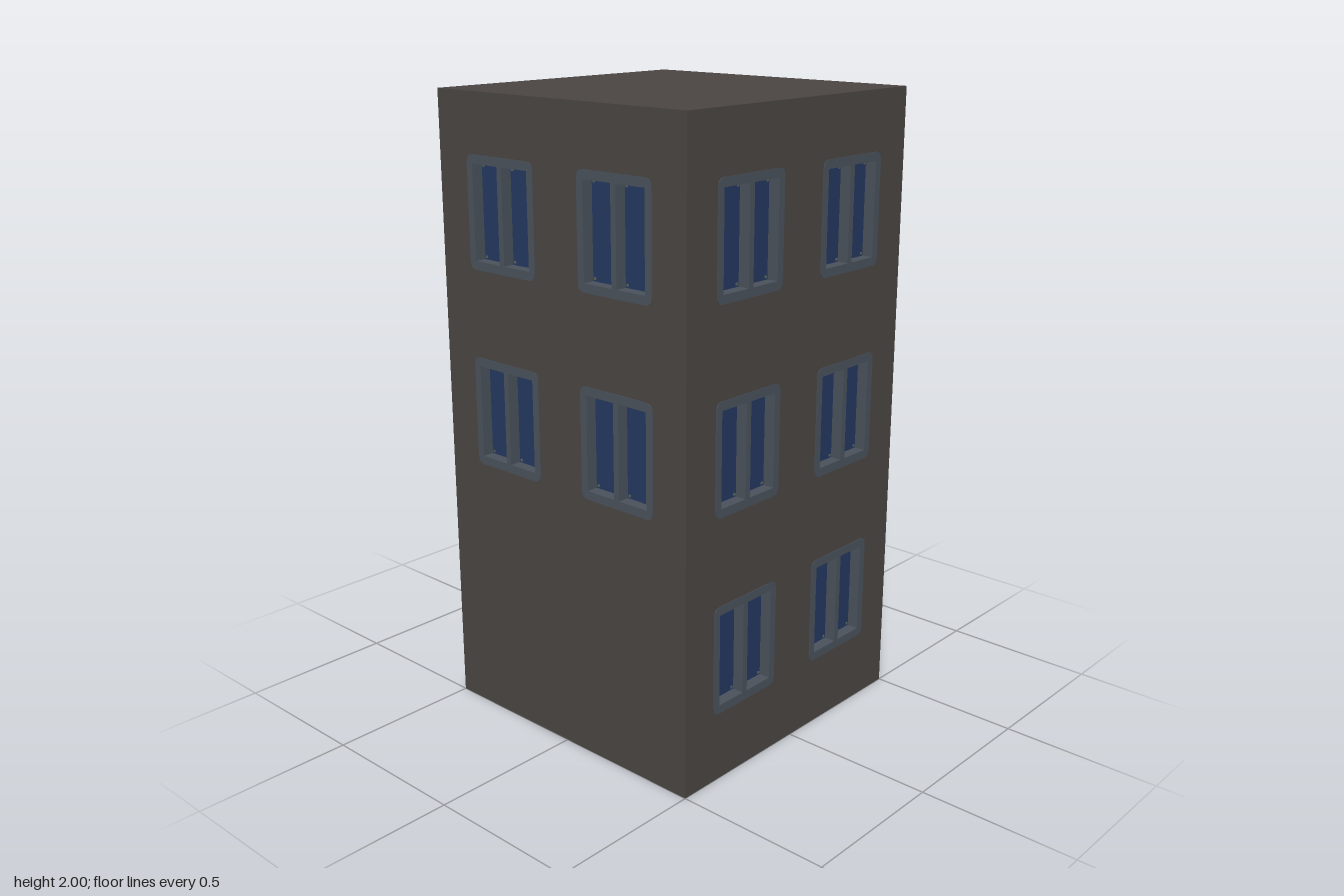
import * as THREE from 'three';

const HEIGHT = 2, HALF = 0.5, WALL = 0.04, GLASS_DEPTH = 0.035, LIP = 0.002;

const material = (name, color) => {
  const m = new THREE.MeshStandardMaterial({ color });
  m.name = name;
  return m;
};

const mats = {
  wall: material('wall brown grey', 0x4a4543),
  frame: material('frame slate', 0x49515a),
  glass: material('glass navy', 0x24375f),
  door: material('door blue grey', 0x454c58),
  stud: material('stud grey', 0x59625c),
};

function mesh(parent, name, geometry, mat, x = 0, y = 0, z = 0) {
  const m = new THREE.Mesh(geometry, mat);
  m.name = name;
  m.position.set(x, y, z);
  parent.add(m);
  return m;
}

const box = (w, h, d) => new THREE.BoxGeometry(w, h, d);
const extrude = (shape, depth) =>
  new THREE.ExtrudeGeometry(shape, { depth, bevelEnabled: false, curveSegments: 3 });

function rectPath(x, y, w, h, Type = THREE.Path) {
  const p = new Type();
  p.moveTo(x - w / 2, y - h / 2);
  p.lineTo(x + w / 2, y - h / 2);
  p.lineTo(x + w / 2, y + h / 2);
  p.lineTo(x - w / 2, y + h / 2);
  p.closePath();
  return p;
}

function roundedRect(w, h, r) {
  const s = new THREE.Shape(), x = w / 2, y = h / 2;
  s.moveTo(-x + r, -y);
  s.lineTo(x - r, -y);
  s.quadraticCurveTo(x, -y, x, -y + r);
  s.lineTo(x, y - r);
  s.quadraticCurveTo(x, y, x - r, y);
  s.lineTo(-x + r, y);
  s.quadraticCurveTo(-x, y, -x, y - r);
  s.lineTo(-x, -y + r);
  s.quadraticCurveTo(-x, -y, -x + r, -y);
  return s;
}

// Window styles: outer size and the panes as [centre, width]
const PANE_H = 0.293, WIN_H = 0.348;
const PAIR = { width: 0.286, panes: [[-0.064, 0.108], [0.064, 0.108]] };
const SINGLE = { width: 0.185, panes: [[0, 0.13]] };

// Window with a deep frame, recessed panes and small corner studs
function makeWindow({ width, panes }) {
  const g = new THREE.Group();
  g.name = 'window';
  const shape = roundedRect(width, WIN_H, 0.025);
  panes.forEach(([x, w]) => shape.holes.push(rectPath(x, 0, w, PANE_H)));
  mesh(g, 'windowFrame', extrude(shape, WALL + LIP), mats.frame, 0, 0, -WALL);
  for (const [x, w] of panes) {
    mesh(g, 'windowPane', box(w, PANE_H, 0.005), mats.glass, x, 0, -GLASS_DEPTH - 0.0025);
    for (const sx of [-1, 1]) for (const sy of [-1, 1]) {
      mesh(g, 'cornerStud', box(0.007, 0.007, 0.004), mats.stud,
        x + sx * (w / 2 - 0.009), sy * (PANE_H / 2 - 0.009), -GLASS_DEPTH + 0.001);
    }
  }
  return g;
}

// Door: opening measured from the ground up
const DOOR = { x: 0.2, w: 0.31, h: 0.535, trim: 0.016 };

function makeDoor() {
  const g = new THREE.Group();
  g.name = 'door';
  const { w, h, trim } = DOOR, a = w / 2, b = a + trim;
  const s = new THREE.Shape();
  [[-b, 0], [-a, 0], [-a, h], [a, h], [a, 0], [b, 0], [b, h + trim], [-b, h + trim]]
    .forEach(([x, y], i) => (i ? s.lineTo(x, y) : s.moveTo(x, y)));
  mesh(g, 'doorFrame', extrude(s, WALL + LIP), mats.frame, 0, 0, -WALL);
  mesh(g, 'doorPanel', box(w, h, 0.005), mats.door, 0, h / 2, -GLASS_DEPTH - 0.0025);
  mesh(g, 'handlePlate', box(0.045, 0.14, 0.008), mats.frame, 0.105, 0.235, -GLASS_DEPTH + 0.004);
  mesh(g, 'handleBar', box(0.014, 0.1, 0.016), mats.door, 0.105, 0.235, -GLASS_DEPTH + 0.012);
  return g;
}

// One wall facing local +z, with openings cut for its windows and door
function makeFacade(name, angle, width, windows, hasDoor) {
  const g = new THREE.Group();
  g.name = name;
  g.rotation.y = angle;
  const s = new THREE.Shape(), x = width / 2;
  s.moveTo(-x, 0);
  if (hasDoor) {
    const b = DOOR.w / 2 + DOOR.trim, top = DOOR.h + DOOR.trim;
    s.lineTo(DOOR.x - b, 0);
    s.lineTo(DOOR.x - b, top);
    s.lineTo(DOOR.x + b, top);
    s.lineTo(DOOR.x + b, 0);
    const door = makeDoor();
    door.position.set(DOOR.x, 0, HALF);
    g.add(door);
  }
  s.lineTo(x, 0);
  s.lineTo(x, HEIGHT);
  s.lineTo(-x, HEIGHT);
  s.closePath();
  for (const [wx, wy, style] of windows) {
    s.holes.push(rectPath(wx, wy, style.width - 0.02, WIN_H - 0.02));
    const win = makeWindow(style);
    win.position.set(wx, wy, HALF);
    g.add(win);
  }
  mesh(g, 'wall', extrude(s, WALL), mats.wall, 0, 0, HALF - WALL);
  return g;
}

export function createModel() {
  const model = new THREE.Group();
  model.name = 'building';
  const floors = [0.393, 1.018, 1.642];
  const upper = floors.slice(1);
  const columns = (ys, xs, style) => ys.flatMap((y) => xs.map((x) => [x, y, style]));
  const inner = 2 * (HALF - WALL), side = 0.233;

  model.add(makeFacade('frontWall', 0, 1, columns(upper, [-side, side], PAIR)));
  model.add(makeFacade('backWall', Math.PI, 1, [
    ...columns(floors, [-0.297, 0.297], PAIR),
    ...columns(upper, [0], SINGLE),
  ]));
  model.add(makeFacade('leftWall', Math.PI / 2, inner, columns(floors, [-side, side], PAIR)));
  model.add(makeFacade('rightWall', -Math.PI / 2, inner, [
    ...columns(upper, [-side, side], PAIR),
    [-side, floors[0], PAIR],
  ], true));

  // Roof and floor slabs close the shell
  mesh(model, 'roof', box(inner, WALL, inner), mats.wall, 0, HEIGHT - WALL / 2, 0);
  mesh(model, 'floor', box(inner, WALL, inner), mats.wall, 0, WALL / 2, 0);
  return model;
}
